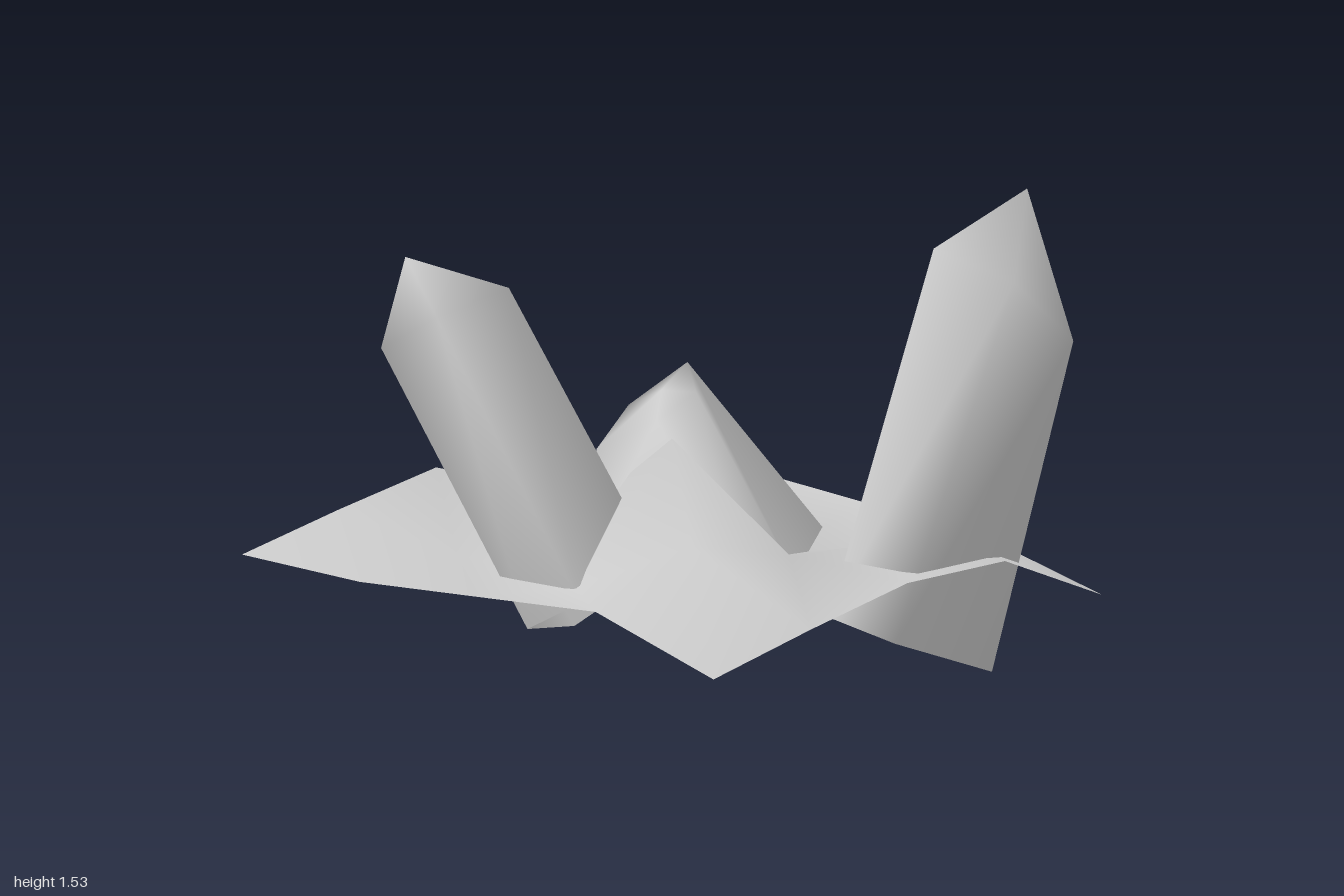
import * as THREE from 'three';

const material = new THREE.MeshStandardMaterial({ color: 0xcccccc, side: THREE.DoubleSide });

// Faceted crystal: open base ring, shoulder ring and a pointed tip
function crystal(name, base, shoulder, tip) {
  const index = [];
  const n = base.length;
  for (let i = 0; i < n; i++) {
    const j = (i + 1) % n;
    index.push(i, j, n + j, i, n + j, n + i); // side
    index.push(n + i, n + j, 2 * n); // facet of the point
  }
  const geometry = new THREE.BufferGeometry();
  geometry.setAttribute('position',
    new THREE.Float32BufferAttribute([...base, ...shoulder, tip].flat(), 3));
  geometry.setIndex(index);
  geometry.computeVertexNormals();
  const mesh = new THREE.Mesh(geometry, material);
  mesh.name = name;
  return mesh;
}

// Uneven ground sheet, heights listed from back to front, left to right in x
function ground() {
  const heights = [
    0.39, 0.465, 0.53, 0.39, 0.26,
    0.36, 0.38, 0.37, 0.39, 0.44,
    0.37, 0.33, 0.74, 0.29, 0.39,
    0.38, 0.52, 0.42, 0.39, 0.34,
    0.22, 0.31, 0.39, 0.39, 0.21,
  ];
  const geometry = new THREE.PlaneGeometry(1.94, 1.94, 4, 4);
  geometry.rotateX(-Math.PI / 2).translate(0, 0, -0.03);
  const position = geometry.attributes.position;
  heights.forEach((h, i) => position.setY(i, h));
  geometry.computeVertexNormals();
  const mesh = new THREE.Mesh(geometry, material);
  mesh.name = 'ground';
  return mesh;
}

export function createModel() {
  const group = new THREE.Group();
  group.name = 'crystalCluster';
  group.add(ground());

  // Tall crystal at the front
  group.add(crystal('tallCrystal',
    [[0.04, 0.23, 0.58], [0.07, 0.17, 0.83], [0.59, 0, 0.8], [0.29, 0.17, 0.39]],
    [[0.42, 1.38, 0.7], [0.46, 1.3, 1.0], [0.79, 1.06, 0.97], [0.64, 1.3, 0.55]],
    [0.79, 1.53, 0.78]));

  // Leaning crystal at the back
  group.add(crystal('leaningCrystal',
    [[-0.6, 0.2, -0.13], [-0.52, 0.29, 0.02], [-0.1, 0.34, 0], [-0.22, 0.14, -0.25]],
    [[-0.7, 1.06, -0.65], [-0.64, 1.17, -0.47], [-0.22, 1.2, -0.52], [-0.34, 1.02, -0.85]],
    [-0.47, 1.31, -0.74]));

  // Broad squat crystal
  group.add(crystal('broadCrystal',
    [[-0.19, 0.4, -0.21], [0.08, 0.31, 0.2], [0.23, 0.32, 0.27], [0.84, 0.11, 0.15], [0.54, 0.13, -0.69]],
    [[-0.05, 0.68, -0.3], [0.13, 0.76, -0.2], [0.29, 0.83, -0.17], [0.55, 0.86, -0.42], [0.56, 0.69, -0.67]],
    [0.37, 0.8, -0.38]));

  return group;
}
